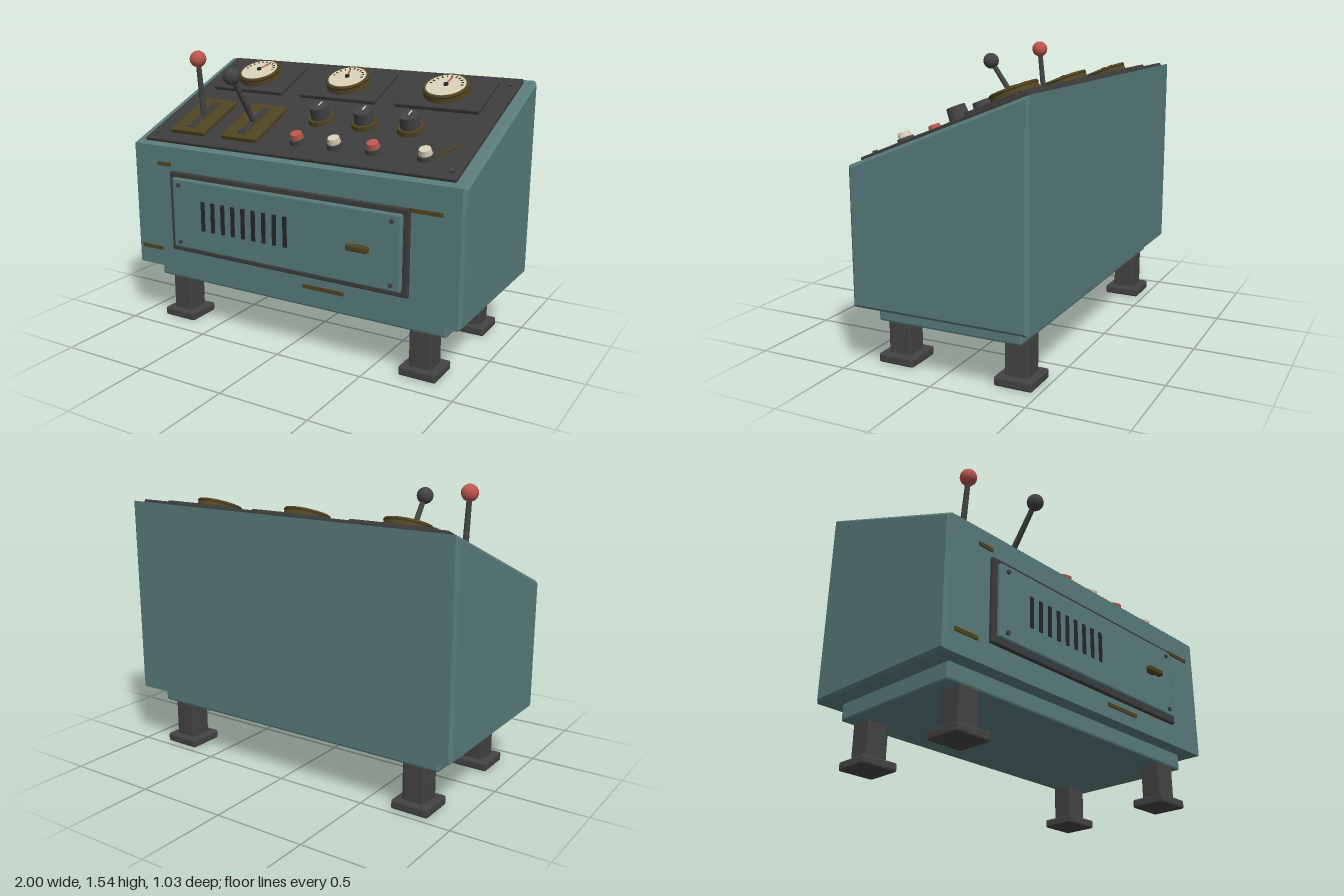
import * as THREE from 'three';
import { RoundedBoxGeometry } from 'three/addons/geometries/RoundedBoxGeometry.js';

const paint = (name, color) => {
  const m = new THREE.MeshStandardMaterial({ color, flatShading: true });
  m.name = name;
  return m;
};

export function createModel() {
  const teal = paint('teal enamel', 0x587b7a);
  const charcoal = paint('charcoal panel', 0x3d3c3c);
  const iron = paint('dark iron', 0x434343);
  const black = paint('black', 0x262626);
  const brass = paint('dark brass', 0x4f4321);
  const cream = paint('cream', 0xd6cdb5);
  const red = paint('red', 0xbb564f);

  const model = new THREE.Group();
  model.name = 'controlConsole';

  const add = (parent, name, geo, mat, x = 0, y = 0, z = 0) => {
    const mesh = new THREE.Mesh(geo, mat);
    mesh.name = name;
    mesh.position.set(x, y, z);
    parent.add(mesh);
    return mesh;
  };
  const group = (parent, name, x = 0, y = 0, z = 0) => {
    const g = new THREE.Group();
    g.name = name;
    g.position.set(x, y, z);
    parent.add(g);
    return g;
  };
  const box = (w, h, d) => new THREE.BoxGeometry(w, h, d);
  const soft = (w, h, d, r = 0.006) => new RoundedBoxGeometry(w, h, d, 1, r);
  const disc = (top, bottom, h, n = 24) => new THREE.CylinderGeometry(top, bottom, h, n);

  // Cabinet: side profile (z, y) extruded across the width with a small chamfer
  const profile = new THREE.Shape([
    [0.43, 0.33], [0.43, 1.03], [-0.51, 1.405], [-0.51, 0.33],
  ].map(([z, y]) => new THREE.Vector2(z, y)));
  const bevel = 0.016;
  const cabinet = new THREE.ExtrudeGeometry(profile, {
    depth: 2 - 2 * bevel, bevelEnabled: true, bevelThickness: bevel,
    bevelSize: bevel, bevelOffset: -bevel, bevelSegments: 1,
  });
  cabinet.translate(0, 0, -(1 - bevel)).rotateY(-Math.PI / 2);
  add(model, 'cabinet', cabinet, teal);
  add(model, 'plinth', soft(1.79, 0.1, 0.78, 0.012), teal, 0, 0.29, -0.04);

  // Legs with square feet
  for (const x of [-0.757, 0.757]) {
    for (const z of [0.285, -0.365]) {
      const leg = group(model, 'leg', x, 0, z);
      add(leg, 'post', soft(0.125, 0.21, 0.125, 0.01), iron, 0, 0.145, 0);
      add(leg, 'foot', soft(0.205, 0.048, 0.2, 0.01), iron, 0, 0.026, 0);
    }
  }

  // Front hatch with frame, screws, vent slots and handle
  const hatch = group(model, 'hatch', 0, 0.675, 0.43);
  add(hatch, 'hatchFrame', soft(1.455, 0.45, 0.03), charcoal, 0, 0, 0.005);
  add(hatch, 'hatchDoor', soft(1.395, 0.395, 0.05, 0.01), teal, 0, 0, 0.016);
  for (const x of [-0.648, 0.648]) {
    for (const y of [-0.162, 0.162]) {
      add(hatch, 'hatchScrew', disc(0.012, 0.012, 0.012, 10), iron, x, y, 0.045).rotation.x = Math.PI / 2;
    }
  }
  for (let i = 0; i < 9; i++) {
    add(hatch, 'ventSlot', box(0.023, 0.165, 0.008), black, -0.486 + i * 0.0658, 0.007, 0.043);
  }
  add(hatch, 'handleStem', box(0.05, 0.018, 0.04), brass, 0.48, 0.005, 0.055);
  add(hatch, 'handle', soft(0.12, 0.032, 0.035, 0.008), brass, 0.48, 0.005, 0.075);

  // Worn strips on the front face: x, y, width
  for (const [x, y, w] of [[-0.77, 0.935, 0.09], [0.808, 0.895, 0.175], [-0.88, 0.438, 0.14], [0.25, 0.398, 0.24]]) {
    add(model, 'wornStrip', box(w, 0.02, 0.008), brass, x, y, 0.443);
  }

  // Sloping panel: its local y = 0 is the top surface
  const panel = group(model, 'controlPanel', 0, 1.238, -0.04);
  panel.rotation.x = 0.384;
  add(panel, 'panelPlate', soft(1.87, 0.026, 0.95), charcoal, 0, -0.013, 0);
  for (const x of [-0.89, 0.89]) {
    for (const z of [-0.395, 0.412]) {
      add(panel, 'panelScrew', disc(0.013, 0.013, 0.01, 10), iron, x, 0.004, z);
    }
  }

  // Gauges: x position and needle angle
  for (const [x, angle] of [[-0.598, -0.4], [0, 0.25], [0.595, -0.08]]) {
    const gauge = group(panel, 'gauge', x, 0, -0.243);
    add(gauge, 'gaugePlate', soft(0.475, 0.024, 0.32), charcoal, 0, 0.01, 0);
    add(gauge, 'gaugeBezel', disc(0.118, 0.126, 0.036, 32), brass, 0, 0.038, 0);
    const rim = add(gauge, 'gaugeRim', new THREE.TorusGeometry(0.115, 0.01, 6, 32), brass, 0, 0.056, 0);
    rim.rotation.x = Math.PI / 2;
    add(gauge, 'gaugeFace', disc(0.108, 0.11, 0.012, 32), cream, 0, 0.059, 0);
    for (let i = 0; i < 11; i++) {
      const a = (i - 5) * 0.3;
      const tick = add(gauge, 'tick', box(0.006, 0.003, 0.014), black, -Math.sin(a) * 0.088, 0.066, -Math.cos(a) * 0.088);
      tick.rotation.y = a;
    }
    const pointer = group(gauge, 'needle', 0, 0.069, 0);
    pointer.rotation.y = angle;
    add(pointer, 'needleBlade', box(0.008, 0.004, 0.08), red, 0, 0, -0.035);
    add(pointer, 'needleHub', disc(0.013, 0.013, 0.012, 12), black);
  }

  // Levers: x position, knob height and depth, knob colour
  for (const [x, y, z, mat] of [[-0.69, 1.492, 0.213, red], [-0.345, 1.437, 0.37, iron]]) {
    const mount = group(panel, 'leverMount', x, 0, 0.225);
    add(mount, 'leverPlate', soft(0.23, 0.026, 0.345), brass, 0, 0.01, 0);
    add(mount, 'leverSlot', box(0.046, 0.006, 0.26), charcoal, 0, 0.024, 0);
    const lever = group(model, 'lever', x, 1.165, 0.178);
    const tip = new THREE.Vector3(0, y - 1.165, z - 0.178);
    const rod = add(lever, 'leverRod', disc(0.014, 0.017, tip.length(), 12), iron);
    rod.position.copy(tip).multiplyScalar(0.5);
    rod.quaternion.setFromUnitVectors(new THREE.Vector3(0, 1, 0), tip.clone().normalize());
    add(lever, 'leverBall', new THREE.SphereGeometry(0.046, 16, 12), mat).position.copy(tip);
  }

  // Rotary knobs
  for (const x of [0.018, 0.282, 0.545]) {
    const knob = group(panel, 'rotaryKnob', x, 0, 0.115);
    add(knob, 'knobCollar', disc(0.068, 0.073, 0.026), brass, 0, 0.012, 0);
    add(knob, 'knobCap', disc(0.048, 0.054, 0.066, 20), iron, 0, 0.056, 0);
    add(knob, 'knobMark', box(0.008, 0.004, 0.04), cream, 0, 0.09, -0.02);
  }

  // Push buttons
  for (const [x, mat] of [[-0.003, red], [0.22, cream], [0.442, red], [0.725, cream]]) {
    const button = group(panel, 'pushButton', x, 0, 0.335);
    add(button, 'buttonCollar', disc(0.042, 0.046, 0.026, 20), iron, 0, 0.012, 0);
    add(button, 'buttonCap', disc(0.03, 0.035, 0.03, 20), mat, 0, 0.038, 0);
  }

  // Slanted worn hatching beside the last button
  for (let i = 0; i < 6; i++) {
    const bar = add(panel, 'hatchingBar', box(0.006, 0.006, 0.06), brass, 0.77 + i * 0.018, 0.002, 0.305 - i * 0.024);
    bar.rotation.y = -0.2;
  }
  return model;
}
